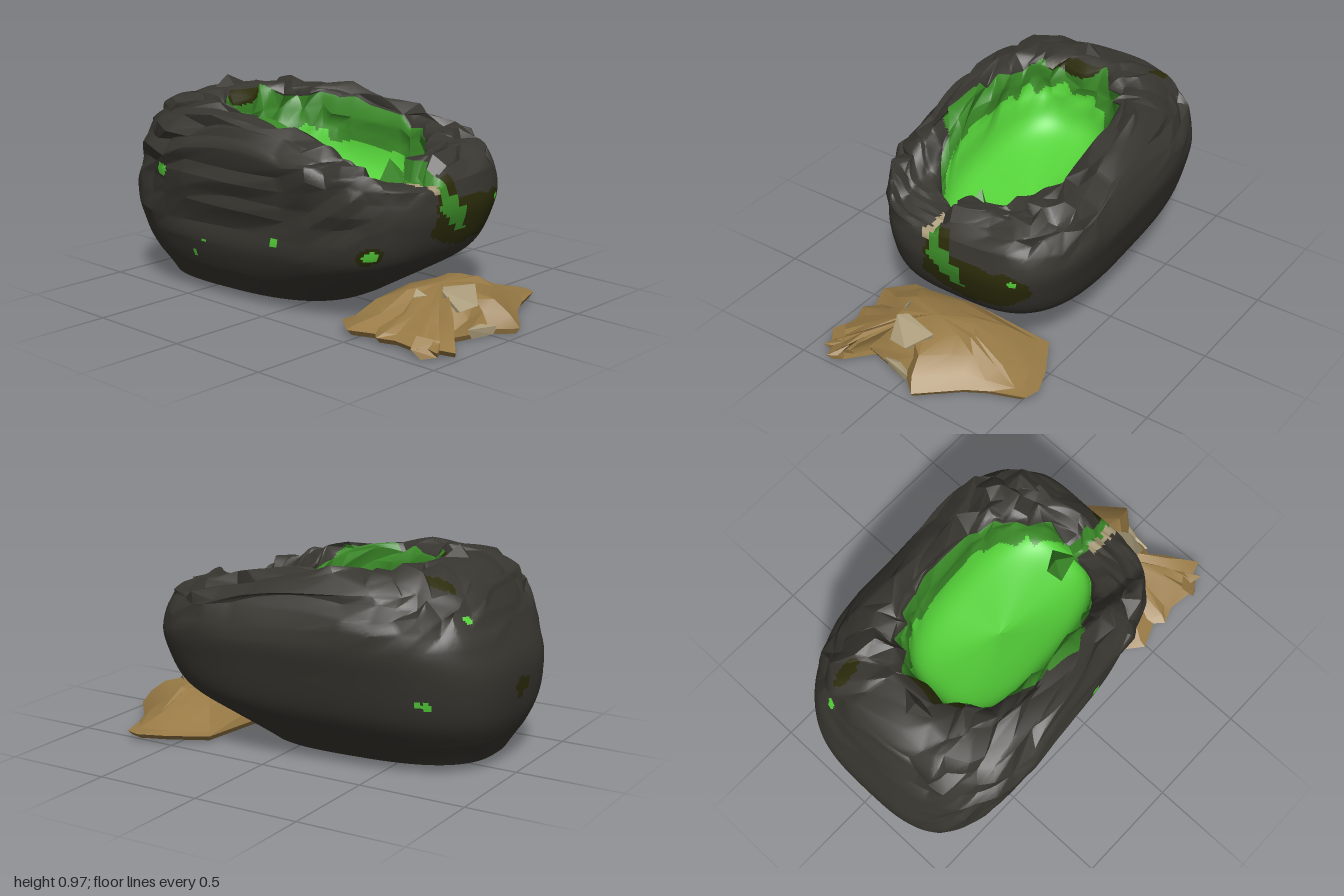
import * as THREE from 'three';
import { toCreasedNormals } from 'three/addons/utils/BufferGeometryUtils.js';
import { ConvexGeometry } from 'three/addons/geometries/ConvexGeometry.js';

const mat = (name, color) => {
  const m = new THREE.MeshStandardMaterial({ color });
  m.name = name;
  return m;
};
const smooth = THREE.MathUtils.smoothstep;

// Repeatable hash and linear lattice noise, both in -1..1
const hash = (i, j, k) => {
  const s = Math.sin(i * 127.1 + j * 311.7 + k * 74.7) * 43758.5453;
  return 2 * (s - Math.floor(s)) - 1;
};
const lattice = (u, v, k, wrap) => {
  const i = Math.floor(u), j = Math.floor(v), f = u - i, g = v - j;
  const h = (a, b) => hash(a % wrap, b, k);
  // Triangular interpolation gives chipped, flat facets
  return f + g < 1
    ? h(i, j) + f * (h(i + 1, j) - h(i, j)) + g * (h(i, j + 1) - h(i, j))
    : h(i + 1, j + 1) + (1 - f) * (h(i, j + 1) - h(i + 1, j + 1)) + (1 - g) * (h(i + 1, j) - h(i + 1, j + 1));
};

// Boulder rings from under the base, up the outside, over the rim and into the bowl:
// right x, left x, front z, back z, height at front, height at back
const RINGS = [
  [-0.03, -0.03, -0.35, -0.35, 0.05, 0.05],
  [-0.38, 0.30, 0.19, -0.86, 0.05, 0.05],
  [-0.45, 0.39, 0.38, -0.93, 0.16, 0.16],
  [-0.50, 0.48, 0.57, -0.98, 0.29, 0.29],
  [-0.52, 0.54, 0.645, -1.0, 0.46, 0.48],
  [-0.54, 0.57, 0.645, -0.96, 0.58, 0.62],
  [-0.55, 0.545, 0.60, -0.90, 0.69, 0.75],
  [-0.49, 0.48, 0.54, -0.84, 0.74, 0.85],
  [-0.41, 0.39, 0.48, -0.67, 0.75, 0.92],
  [-0.34, 0.315, 0.41, -0.56, 0.72, 0.88],
  [-0.32, 0.30, 0.44, -0.54, 0.58, 0.72],
  [-0.25, 0.23, 0.36, -0.45, 0.47, 0.55],
  [0, 0, -0.05, -0.05, 0.43, 0.43],
];
const LAST = RINGS.length - 1;

function ringAt(v) {
  const i = Math.min(Math.floor(v), LAST - 1), t = v - i;
  const at = (n) => RINGS[Math.max(0, Math.min(LAST, n))];
  const [a, b, c, d] = [at(i - 1), at(i), at(i + 1), at(i + 2)];
  // Straight across the flat base, curved above it
  if (v < 2) return b.map((_, n) => b[n] + (c[n] - b[n]) * t);
  return b.map((_, n) => 0.5 * (2 * b[n] + (c[n] - a[n]) * t
    + (2 * a[n] - 5 * b[n] + 4 * c[n] - d[n]) * t * t
    + (3 * b[n] - a[n] - 3 * c[n] + d[n]) * t * t * t));
}

function boulderPoint(u, v) {
  const [x0, x1, zf, zb, yf, yb] = ringAt(v);
  // Squarer corners outside than around the bowl
  const a = u * Math.PI * 2, power = 2 / (2.75 + 0.6 * smooth(v, 1, 3.5) * (1 - smooth(v, 7, 9)));
  const c = Math.cos(a), s = Math.sin(a);
  const ex = Math.sign(c) * Math.abs(c) ** power, ez = Math.sign(s) * Math.abs(s) ** power;
  const z = (zf + zb) / 2 + ez * (zf - zb) / 2;
  const x = (x0 + x1) / 2 + ex * (x1 - x0) / 2 + 0.07 * (z + 0.17);
  const back = (1 - ez) / 2;
  let y = yf + (yb - yf) * (1 - (1 - back) ** 2);
  // Broken notch in the front lip, deepest at the crack on its left end
  const notch = smooth(x, -0.37, -0.28) * (1 - smooth(x, -0.03, 0.015)) * smooth(z, 0.16, 0.32)
    * smooth(v, 5.2, 6.8) * (1 - smooth(v, 9.4, 10.4));
  y -= notch * (0.115 + 0.12 * (x + 0.15));
  // Rough stone near the rim and along the right flank, smooth below
  const flank = 0.024 * smooth(-x, 0.25, 0.5) * smooth(v, 2.5, 4);
  const rim = 0.032 * smooth(v, 4.6, 6.8) * (1 - 0.7 * notch);
  const rough = Math.max(flank, rim) * (1 - smooth(v, 9, 10.6));
  const n = (k) => rough * lattice(u * 36, v * 2, k, 36);
  return new THREE.Vector3(x + n(1), y + 0.8 * n(2), z + n(3));
}

// Sides of the boulder: membership test and horizontal coordinate
const SIDES = {
  front: [(p) => p.z > 0.25, 'x'], back: [(p) => p.z < -0.6, 'x'],
  left: [(p) => p.x > 0.35, 'z'], right: [(p) => p.x < -0.35, 'z'],
};
// Marks: side, horizontal position, height, radius
const SPECKS = [
  ['front', -0.335, 0.345, 0.024], ['front', 0.375, 0.515, 0.016], ['left', -0.77, 0.375, 0.021],
  ['left', -0.73, 0.385, 0.014], ['right', -0.6, 0.6, 0.036], ['right', 0.07, 0.36, 0.02],
  ['right', -0.35, 0.3, 0.016], ['right', -0.44, 0.22, 0.014], ['back', 0.25, 0.73, 0.018],
];
const STAINS = [['back', -0.04, 0.4, 0.045], ['back', 0.26, 0.87, 0.03], ['front', -0.335, 0.345, 0.042]];
const marked = (p, list, wob) => list.some(([side, h, y, r]) => {
  const [on, axis] = SIDES[side];
  return on(p) && Math.hypot(p[axis] - h, p.y - y) < r * (1 + wob);
});
// Centre line of the spill down the front: x, y, half width
const TRICKLE = [[-0.04, 0.8, 0.025], [-0.025, 0.66, 0.025], [-0.01, 0.6, 0.045], [0.03, 0.52, 0.07], [0.08, 0.46, 0.055], [0.1, 0.41, 0.03]];
// Olive blot on the front as overlapping ellipses: x, y, radii
const BLOT = [[0.16, 0.455, 0.25, 0.11], [0.015, 0.56, 0.085, 0.1], [0.34, 0.48, 0.095, 0.08]];

// 0 stone, 1 bright slime, 2 dark slime, 3 olive stain, 4 pale chip
function boulderColour(p, u, v) {
  const wob = 0.25 * lattice(u * 40, v * 3, 9, 40);
  const leak = 0.85 * smooth(-p.x, 0.28, 0.35) * smooth(p.z, -0.25, -0.12) * (1 - smooth(p.z, 0.08, 0.15));
  const backLip = 0.4 * smooth(-p.z, 0.35, 0.5) * (1 - smooth(Math.abs(p.x + 0.08), 0.12, 0.22));
  if (v > 9.1 - leak - backLip) {
    if (p.z < -0.35 && Math.hypot((p.x + 0.08) / 0.13, (p.y - 0.91) / 0.07) < 1 + 0.5 * wob) return 3;
    const shade = 0.35 * smooth(p.x, -0.02, 0.1) + 0.45 * smooth(p.z, 0.12, 0.3) * smooth(Math.abs(p.x + 0.04), 0.1, 0.2);
    return v > 9.85 + shade + 1.3 * wob ? 1 : 2;
  }
  if (marked(p, SPECKS, wob)) return 1;
  if (p.z > 0.32 && v > 2) {
    if (Math.hypot(p.x + 0.065, p.y - 0.62) < 0.024 && v < 8) return 4;
    for (let i = 0; i < TRICKLE.length - 1; i++) {
      const [x0, y0, w0] = TRICKLE[i], [x1, y1, w1] = TRICKLE[i + 1];
      const t = (y0 - p.y) / (y0 - y1);
      if (t >= 0 && t < 1 && Math.abs(p.x - x0 - (x1 - x0) * t) < (w0 + (w1 - w0) * t) * (1 + wob)) return 2;
    }
    if (v < 7 && BLOT.some(([x, y, rx, ry]) => Math.hypot((p.x - x) / rx, (p.y - y) / ry) < 1 + 0.5 * wob)) return 3;
  }
  return marked(p, STAINS, wob) ? 3 : 0;
}

function boulderGeometry() {
  const across = 288, fine = 14, rows = LAST * fine, buckets = [[], [], [], [], []];
  const grid = [];
  for (let r = 0; r <= rows; r++) {
    grid.push([]);
    for (let i = 0; i < across; i++) grid[r].push(boulderPoint(i / across, r / fine));
  }
  for (let r = 0; r < rows; r++) {
    for (let i = 0; i < across; i++) {
      const j = (i + 1) % across;
      const a = grid[r][i], b = grid[r + 1][i], c = grid[r + 1][j], d = grid[r][j];
      const mid = a.clone().add(c).multiplyScalar(0.5);
      const bucket = buckets[boulderColour(mid, (i + 0.5) / across, (r + 0.5) / fine)];
      if (r < rows - 1) bucket.push(b, c, d);
      if (r > 0) bucket.push(a, b, d);
    }
  }
  const geo = new THREE.BufferGeometry().setFromPoints(buckets.flat());
  let start = 0;
  buckets.forEach((b, i) => { geo.addGroup(start, b.length, i); start += b.length; });
  return toCreasedNormals(geo, 0.35);
}

// Jagged outline of the earth slab as x, z pairs
const SLAB = [
  [0.40, 0.36], [0.50, 0.53], [0.55, 0.66], [0.53, 0.73], [0.38, 0.78], [0.28, 0.83], [0.10, 0.98], [0.0, 0.89],
  [-0.13, 0.87], [-0.25, 0.84], [-0.30, 0.91], [-0.345, 0.93], [-0.32, 0.97], [-0.36, 1.0], [-0.38, 0.93], [-0.42, 0.95],
  [-0.40, 0.87], [-0.44, 0.86], [-0.42, 0.72], [-0.45, 0.64], [-0.41, 0.60], [-0.46, 0.48], [-0.36, 0.36], [0.0, 0.34],
];
function slabGeometry() {
  // Scale towards the crown and height of each ring, underside first
  const levels = [[0, 0.025], [0.95, 0.01], [1, 0.035], [0.88, 0.095], [0.66, 0.15], [0.36, 0.185], [0, 0.2]];
  const cx = -0.02, cz = 0.64, pts = [];
  const at = (k, i) => {
    const n = i % SLAB.length, [x, z] = SLAB[n], [s, y] = levels[k];
    const j = k > 2 && s > 0 ? 0.018 : 0;
    const px = cx + (x - cx) * s + j * hash(n, k, 1), pz = cz + (z - cz) * s + j * hash(n, k, 2);
    const side = smooth(Math.abs(px), 0.12, 0.48);
    // Crown falls away to both sides while the underside lifts slightly
    const py = k > 2 ? y * (1 - 0.42 * side) : y + 0.015 * side * Math.min(k, 1);
    return new THREE.Vector3(px, Math.max(0, py + j * 0.6 * hash(n, k, 3)), pz);
  };
  for (let k = 0; k < levels.length - 1; k++) {
    for (let i = 0; i < SLAB.length; i++) {
      const a = at(k, i), b = at(k + 1, i), c = at(k + 1, i + 1), d = at(k, i + 1);
      if (k < levels.length - 2) pts.push(b, c, d);
      if (k > 0) pts.push(a, b, d);
    }
  }
  return toCreasedNormals(new THREE.BufferGeometry().setFromPoints(pts), 0.4);
}

const stone = (pts) => new ConvexGeometry(pts.map((p) => new THREE.Vector3(...p)));

export function createModel() {
  const model = new THREE.Group();
  model.name = 'hollowBoulder';
  const rock = mat('charcoal stone', 0x383630);
  const bright = mat('bright slime', 0x56d43a);
  const dark = mat('dark slime', 0x3b8a28);
  const olive = mat('olive stain', 0x2b2c0a);
  const pale = mat('pale stone', 0xaa9c7a);
  const earth = mat('brown earth', 0x987a45);
  const add = (name, geo, material) => {
    const m = new THREE.Mesh(geo, material);
    m.name = name;
    model.add(m);
  };

  add('boulder', boulderGeometry(), [rock, bright, dark, olive, pale]);
  add('earthSlab', slabGeometry(), earth);

  // Pale stones bedded in the slab
  add('topStone', stone([[-0.15, 0.21, 0.75], [-0.11, 0.215, 0.72], [0.06, 0.2, 0.76], [-0.03, 0.14, 0.85],
    [-0.13, 0.13, 0.83], [-0.13, 0.1, 0.74], [0.03, 0.1, 0.76]]), pale);
  add('frontStone', stone([[-0.13, 0.06, 0.875], [-0.05, 0.07, 0.88], [0.03, 0.05, 0.91], [0.01, 0.015, 0.905],
    [-0.1, 0.012, 0.875], [-0.05, 0.04, 0.8]]), pale);
  add('smallStone', stone([[-0.2, 0.17, 0.63], [-0.17, 0.2, 0.62], [-0.17, 0.18, 0.68], [-0.19, 0.1, 0.65]]), pale);
  // Loose clod at the slab's right corner and shards along the lip
  add('cornerClod', stone([[-0.46, 0.05, 0.84], [-0.4, 0.09, 0.82], [-0.34, 0.07, 0.9], [-0.4, 0.02, 0.93], [-0.44, 0.01, 0.88]]), earth);
  add('lipShard', stone([[-0.03, 0.6, 0.42], [0.0, 0.7, 0.31], [0.07, 0.6, 0.37], [0.03, 0.55, 0.29], [-0.06, 0.58, 0.29]]), dark);
  add('rimPeak', stone([[-0.22, 0.9, -0.64], [-0.08, 0.975, -0.66], [0.05, 0.91, -0.62], [-0.06, 0.87, -0.76], [-0.06, 0.89, -0.6]]), rock);
  return model;
}
